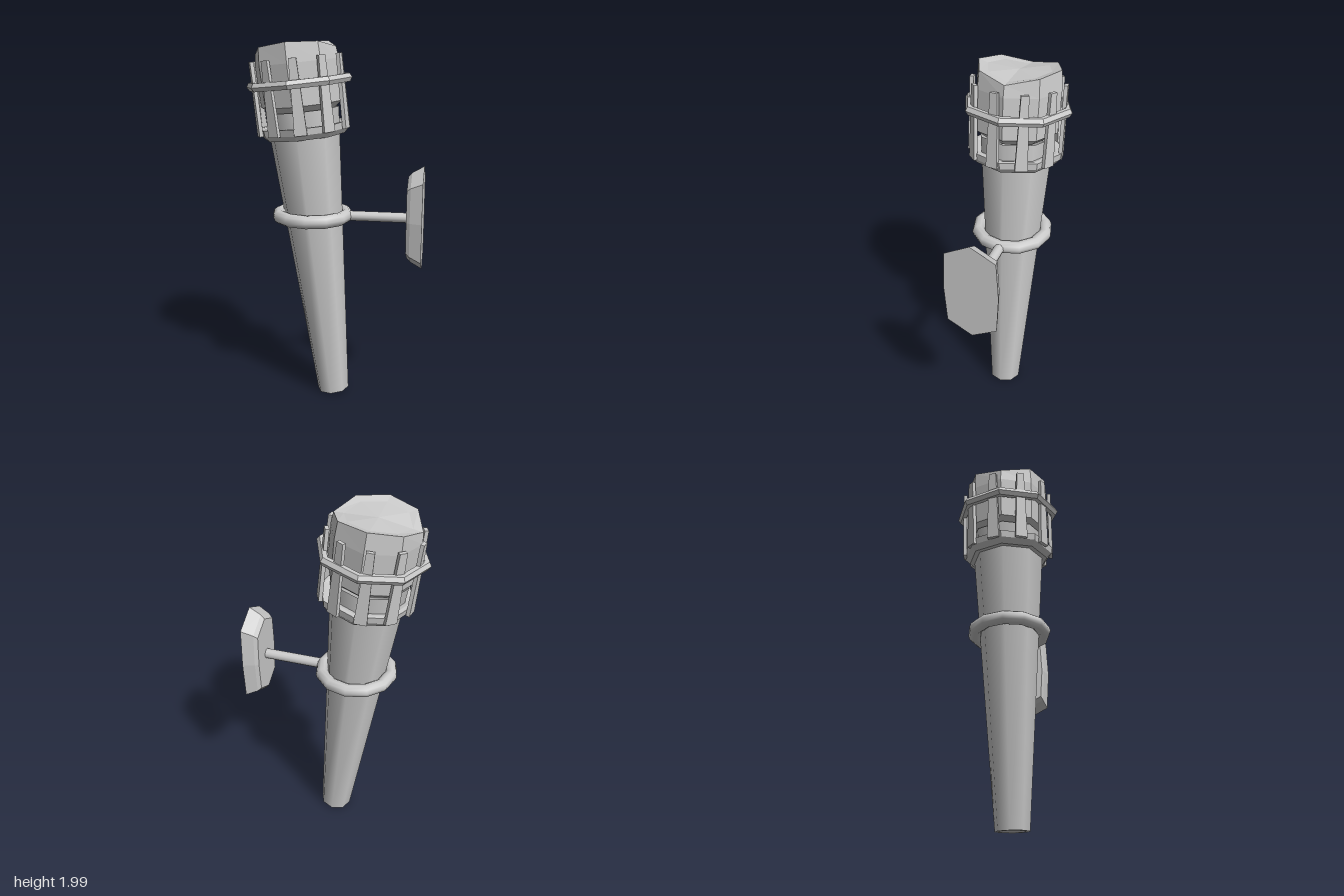
import * as THREE from 'three';

const TILT = 0.105; // lean of the torch away from the wall
const SIDES = 8;

const material = (flatShading) =>
  new THREE.MeshStandardMaterial({ color: 0xcccccc, flatShading, side: THREE.DoubleSide });
const flat = material(true);
const smooth = material(false);

function add(parent, name, geometry, mat = flat) {
  const mesh = new THREE.Mesh(geometry, mat);
  mesh.name = name;
  parent.add(mesh);
  return mesh;
}

// Eight-sided turned shape from [radius, height] pairs
const turned = (profile) =>
  new THREE.LatheGeometry(profile.map(([r, y]) => new THREE.Vector2(r, y)), SIDES);

// Drum inside the cage, its top rim dipping towards both x sides
function drumGeometry() {
  const geo = turned([[0, 1.62], [0.17, 1.62], [0.222, 1.66], [0.228, 1.88], [0.22, 1.985], [0.17, 1.97], [0, 1.962]]);
  const p = geo.attributes.position;
  for (let i = 0; i < p.count; i++) {
    const r = Math.hypot(p.getX(i), p.getZ(i));
    if (p.getY(i) > 1.965 && r > 0) {
      const c = p.getX(i) / r;
      p.setY(i, p.getY(i) - 0.045 * c ** 4 * (r / 0.22) ** 2);
    }
  }
  geo.computeVertexNormals();
  return geo;
}

// Elongated eight-sided plate, bevelled towards the torch
function plateGeometry() {
  const outline = [[0.288, 0], [0.215, 0.137], [0, 0.149], [-0.215, 0.137],
    [-0.288, 0], [-0.215, -0.137], [0, -0.149], [0.215, -0.137]];
  const profile = [[0, 0.4], [0.79, 0.4], [0.87, 0.42], [1, 0.485], [0, 0.485]];
  const geo = turned(profile);
  const p = geo.attributes.position;
  for (let i = 0; i <= SIDES; i++) {
    const [y, z] = outline[i % SIDES];
    profile.forEach(([s, x], j) => p.setXYZ(i * profile.length + j, x, 1.058 + y * s, z * s));
  }
  geo.computeVertexNormals();
  return geo;
}

// Cage slat, narrowing above its foot
function slatGeometry() {
  const geo = new THREE.BoxGeometry(0.02, 0.39, 0.066);
  const p = geo.attributes.position;
  for (let i = 0; i < p.count; i++) if (p.getY(i) > 0) p.setZ(i, p.getZ(i) * 0.6);
  return geo;
}

export function createModel() {
  const model = new THREE.Group();
  model.name = 'wallTorch';

  // Leaning torch
  const torch = new THREE.Group();
  torch.name = 'torch';
  torch.position.set(-0.01, 0.014, 0);
  torch.rotation.z = TILT;
  model.add(torch);

  const length = 1.63;
  const handle = new THREE.CylinderGeometry(0.203, 0.09, length, SIDES, 1, true);
  handle.translate(0, length / 2, 0);
  add(torch, 'handle', handle, smooth);
  add(torch, 'handleEnd', turned([[0, 0.004], [0.075, 0], [0.09, 0.008]]));

  add(torch, 'cup', turned([[0.185, 1.487], [0.22, 1.487], [0.245, 1.515], [0.25, 1.55], [0.225, 1.55], [0.19, 1.54]]));
  add(torch, 'drum', drumGeometry());

  // Cage of slats held by a hoop
  const cage = new THREE.Group();
  cage.name = 'cage';
  torch.add(cage);
  const slat = slatGeometry();
  for (let i = 0; i < 10; i++) {
    const a = THREE.MathUtils.degToRad(10 + 36 * i);
    const mesh = add(cage, 'slat', slat);
    mesh.position.set(0.241 * Math.cos(a), 1.71, 0.241 * Math.sin(a));
    mesh.rotation.y = -a;
  }
  const hoop = new THREE.TorusGeometry(0.265, 0.025, 6, SIDES);
  hoop.rotateX(Math.PI / 2);
  add(cage, 'hoop', hoop).position.y = 1.775;

  // Level bracket ring, arm and wall plate
  const ring = new THREE.TorusGeometry(0.19, 0.036, 10, 12);
  ring.rotateX(Math.PI / 2);
  add(model, 'bracketRing', ring, smooth).position.set(-0.125, 1.058, 0);

  const arm = new THREE.CylinderGeometry(0.028, 0.028, 0.35, 12);
  arm.rotateZ(Math.PI / 2);
  add(model, 'bracketArm', arm, smooth).position.set(0.235, 1.058, 0);

  add(model, 'wallPlate', plateGeometry());
  return model;
}
